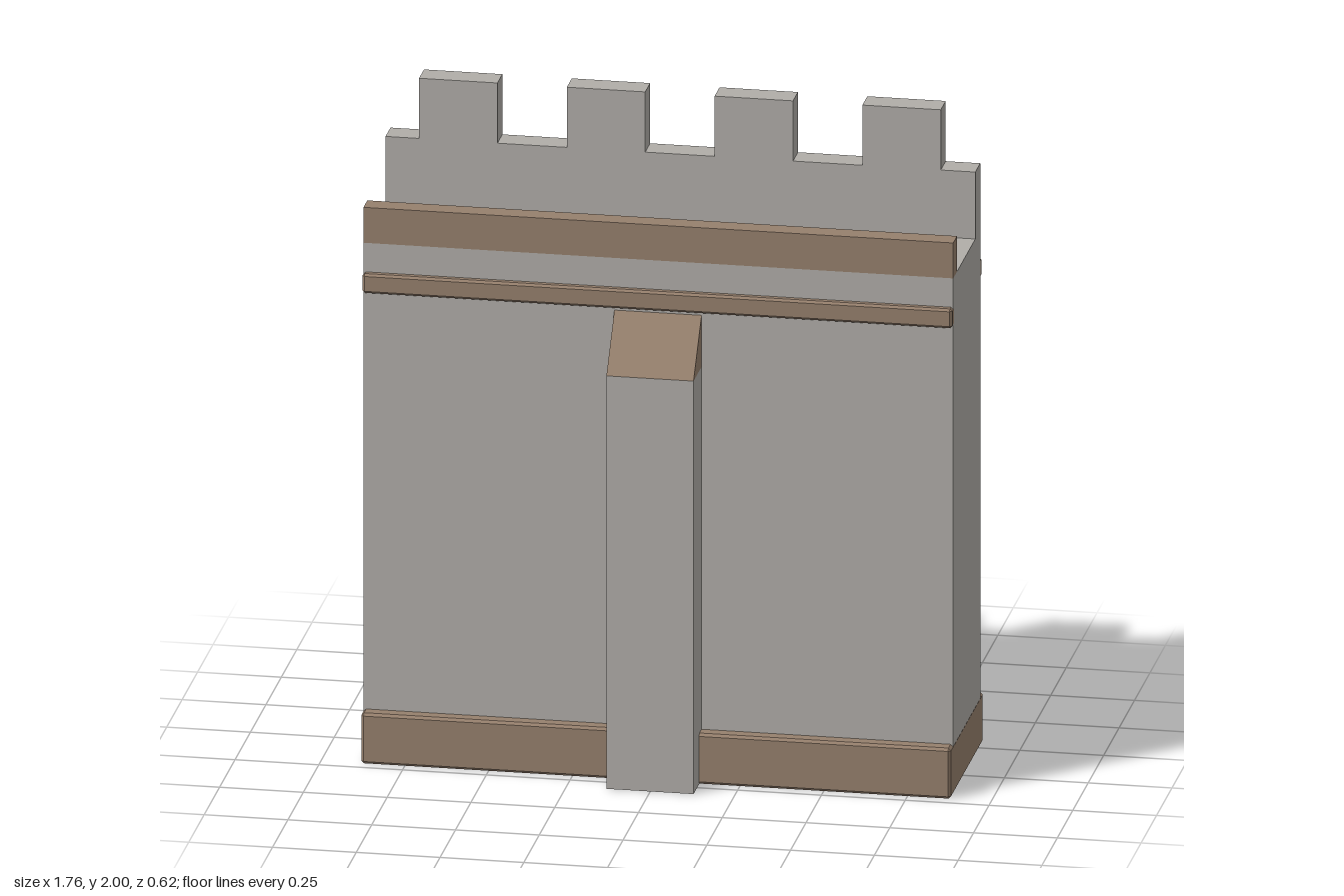
import * as THREE from 'three';
import { ConvexGeometry } from 'three/addons/geometries/ConvexGeometry.js';

const stone = new THREE.MeshStandardMaterial({ color: 0xb0ada8 });
stone.name = 'grey stone';
const trim = new THREE.MeshStandardMaterial({ color: 0x96806d });
trim.name = 'brown trim stone';

// Box given by its extents on each axis
function block(name, material, [x0, x1], [y0, y1], [z0, z1]) {
  const mesh = new THREE.Mesh(new THREE.BoxGeometry(x1 - x0, y1 - y0, z1 - z0), material);
  mesh.position.set((x0 + x1) / 2, (y0 + y1) / 2, (z0 + z1) / 2);
  mesh.name = name;
  return mesh;
}

// Box with every edge chamfered by c
function chamferedBlock(name, material, [x0, x1], [y0, y1], [z0, z1], c) {
  const half = [(x1 - x0) / 2, (y1 - y0) / 2, (z1 - z0) / 2];
  const points = [];
  for (const sx of [-1, 1]) for (const sy of [-1, 1]) for (const sz of [-1, 1]) {
    for (let axis = 0; axis < 3; axis++) {
      const p = half.map((h, i) => (i === axis ? h : h - c));
      points.push(new THREE.Vector3(p[0] * sx, p[1] * sy, p[2] * sz));
    }
  }
  const mesh = new THREE.Mesh(new ConvexGeometry(points), material);
  mesh.position.set((x0 + x1) / 2, (y0 + y1) / 2, (z0 + z1) / 2);
  mesh.name = name;
  return mesh;
}

export function createModel() {
  const model = new THREE.Group();
  model.name = 'castleWall';
  const length = [-0.88, 0.88];

  // Wall body on its plinth
  model.add(block('wallBody', stone, length, [0.15, 1.605], [-0.26, 0.178]));
  model.add(chamferedBlock('plinth', trim, length, [0, 0.157], [-0.307, 0.22], 0.008));

  // Moulding strips on both faces
  model.add(chamferedBlock('frontMoulding', trim, length, [1.455, 1.515], [0.16, 0.2], 0.007));
  model.add(chamferedBlock('backMoulding', trim, length, [1.455, 1.515], [-0.285, -0.245], 0.007));

  // Low front parapet, higher back parapet with merlons
  model.add(block('frontParapet', trim, length, [1.605, 1.715], [0.115, 0.178]));
  model.add(block('backParapet', stone, length, [1.605, 1.813], [-0.26, -0.18]));
  for (const x of [-0.663, -0.222, 0.219, 0.66]) {
    model.add(block('merlon', stone, [x - 0.117, x + 0.117], [1.813, 2], [-0.26, -0.18]));
  }

  // Buttress with a sloped cap
  model.add(block('buttress', stone, [-0.131, 0.129], [0, 1.283], [0.17, 0.308]));
  const slope = new THREE.Shape([
    new THREE.Vector2(0.17, 1.283),
    new THREE.Vector2(0.308, 1.283),
    new THREE.Vector2(0.178, 1.443),
    new THREE.Vector2(0.17, 1.443),
  ]);
  const capGeometry = new THREE.ExtrudeGeometry(slope, { depth: 0.26, bevelEnabled: false });
  capGeometry.rotateY(-Math.PI / 2);
  const cap = new THREE.Mesh(capGeometry, trim);
  cap.position.x = 0.129;
  cap.name = 'buttressCap';
  model.add(cap);

  return model;
}
